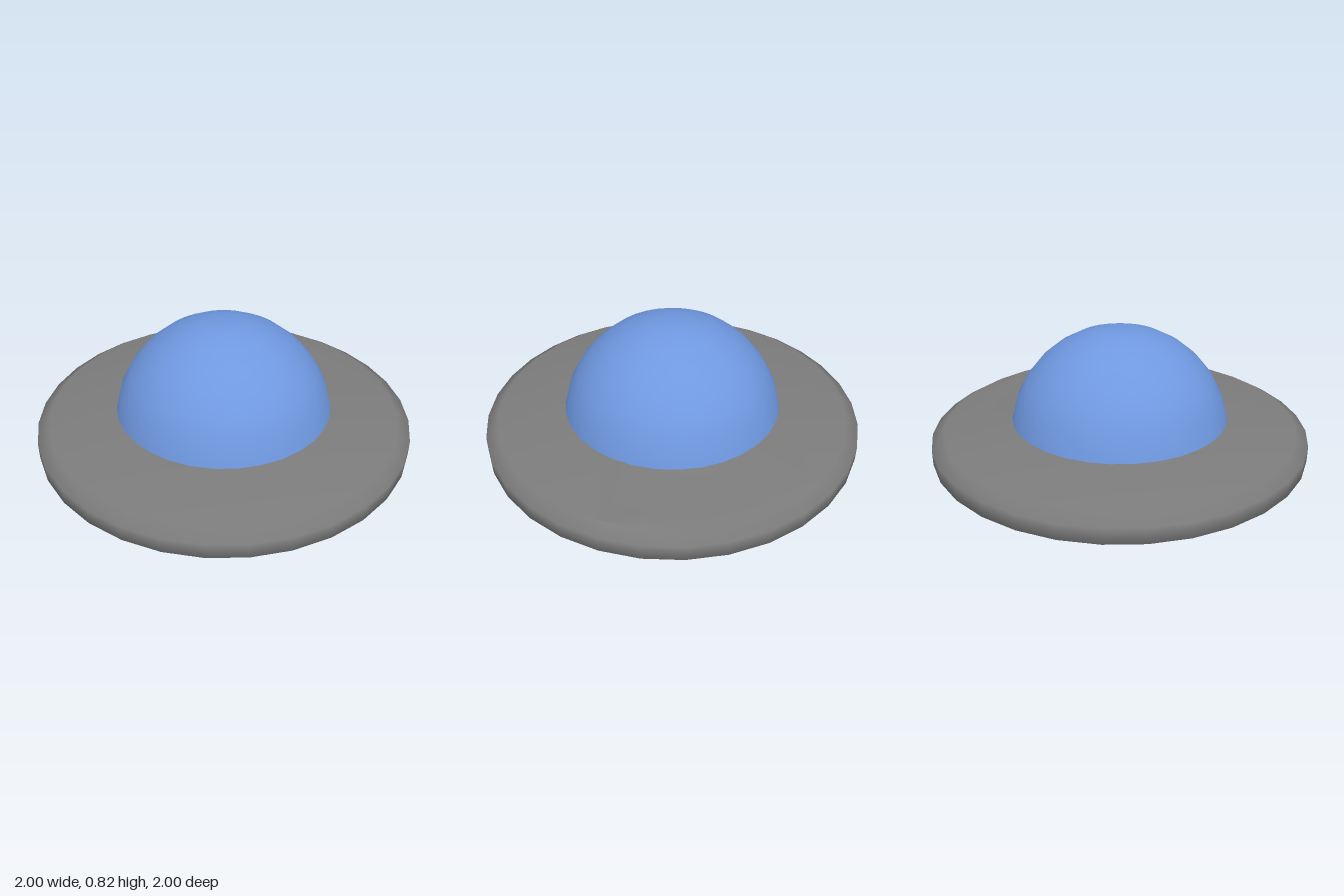
import * as THREE from 'three';
import { mergeVertices } from 'three/addons/utils/BufferGeometryUtils.js';

const SIDES = 32;

// Turned solid with normals smoothed over every edge; clamp = { profileIndex: [minX, maxX] }
function turned(profile, clamp = {}) {
  const raw = new THREE.LatheGeometry(profile.map(([r, y]) => new THREE.Vector2(r, y)), SIDES);
  const pos = raw.attributes.position;
  for (let i = 0; i < pos.count; i++) {
    const limits = clamp[i % profile.length];
    if (limits) pos.setX(i, THREE.MathUtils.clamp(pos.getX(i), ...limits));
  }
  raw.deleteAttribute('normal');
  raw.deleteAttribute('uv');
  const geometry = mergeVertices(raw, 1e-4);
  geometry.computeVertexNormals();
  return geometry;
}

export function createModel() {
  const hullGrey = new THREE.MeshStandardMaterial({ color: 0x7c7c7c });
  const domeBlue = new THREE.MeshStandardMaterial({ color: 0x6f98e0 });
  const baseGreen = new THREE.MeshStandardMaterial({ color: 0x82c00c });
  hullGrey.name = 'hullGrey';
  domeBlue.name = 'domeBlue';
  baseGreen.name = 'baseGreen';

  const model = new THREE.Group();
  model.name = 'flyingSaucer';
  const add = (name, geometry, material) => {
    const mesh = new THREE.Mesh(geometry, material);
    mesh.name = name;
    model.add(mesh);
  };

  // Disc hull: the sloping faces stop at straight chords, leaving flat shelves at the sides
  add('hull', turned([
    [0.3, 0.065], [0.935, 0.165], [0.935, 0.165], [1, 0.205],
    [1, 0.285], [0.935, 0.323], [0.935, 0.323], [0.57, 0.356],
  ], { 1: [-0.777, 0.52], 6: [-1, 0.777] }), hullGrey);

  // Cockpit dome: rings of a sphere with a flattened crown
  const dome = [];
  for (let ring = 7; ring >= 1; ring--) {
    const a = ring * Math.PI / 16;
    dome.push([0.59 * Math.sin(a), 0.246 + 0.59 * Math.cos(a)]);
  }
  dome[0] = [0.578, 0.352];
  dome.push([0, 0.825]);
  add('dome', turned(dome), domeBlue);

  // Landing base
  add('base', turned([[0, 0], [0.3, 0], [0.3, 0.068]]), baseGreen);

  return model;
}
